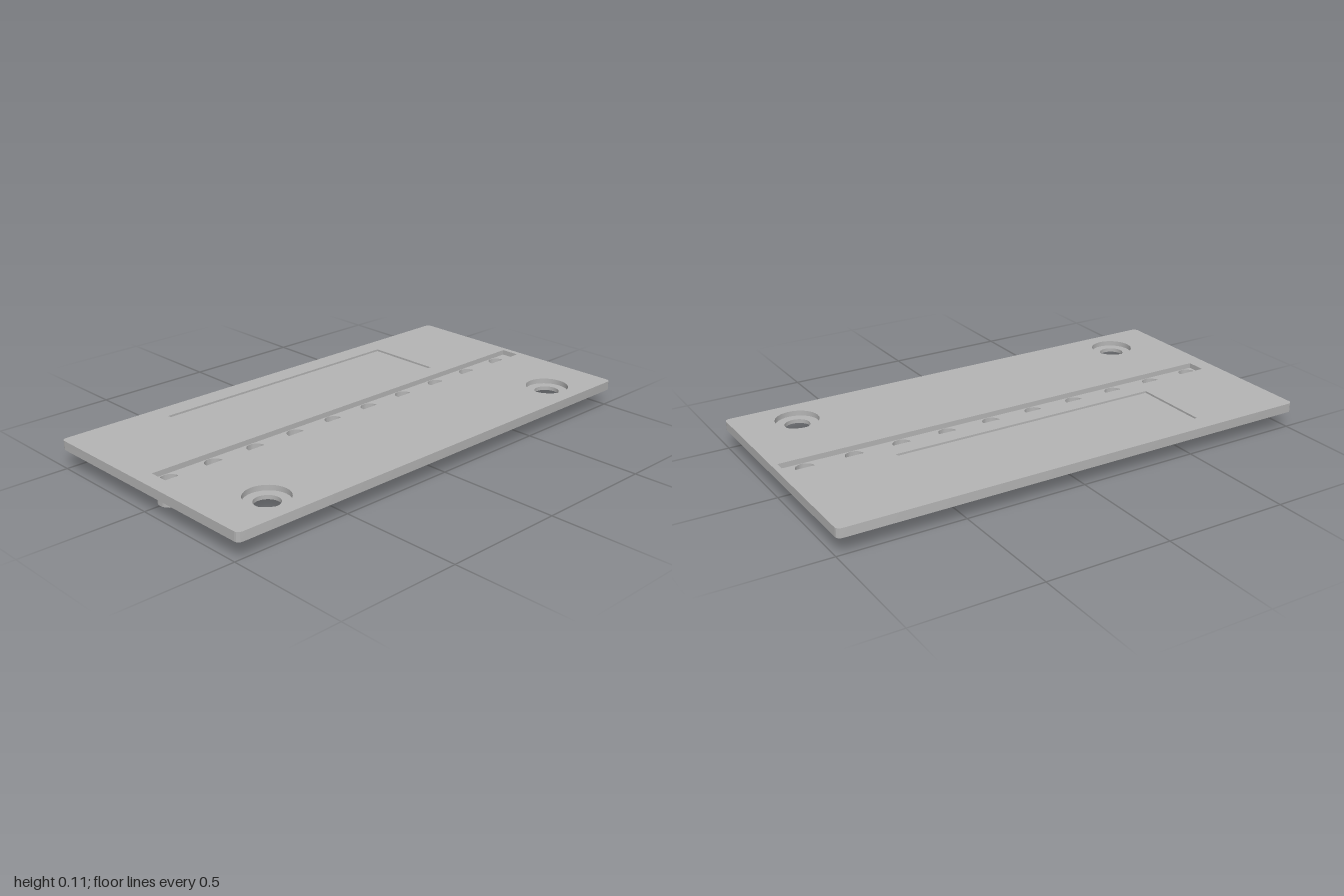
import * as THREE from 'three';
import { mergeGeometries, toCreasedNormals } from 'three/addons/utils/BufferGeometryUtils.js';

const SEG = 16;
// Heights
const UNDER = 0.075, LEDGE = 0.091, PANEL = 0.104, TOP = 0.112, BORE_FLOOR = 0.02;

function circle(x, z, r) {
  const s = new THREE.Shape();
  s.absarc(x, -z, r, 0, Math.PI * 2, false);
  return s;
}

function rect(x0, x1, z0, z1, r = 0) {
  const s = new THREE.Shape(), a = -z1, b = -z0;
  if (r === 0) {
    s.moveTo(x0, a).lineTo(x1, a).lineTo(x1, b).lineTo(x0, b).closePath();
    return s;
  }
  s.absarc(x1 - r, a + r, r, -Math.PI / 2, 0, false);
  s.absarc(x1 - r, b - r, r, 0, Math.PI / 2, false);
  s.absarc(x0 + r, b - r, r, Math.PI / 2, Math.PI, false);
  s.absarc(x0 + r, a + r, r, Math.PI, Math.PI * 1.5, false);
  s.closePath();
  return s;
}

// Flat horizontal face with holes, facing up or down
function cap(outline, holes, y, up = true) {
  const s = outline.clone();
  s.holes = holes;
  const g = new THREE.ShapeGeometry(s, SEG).toNonIndexed();
  g.deleteAttribute('uv');
  g.rotateX(-Math.PI / 2).translate(0, y, 0);
  if (!up) {
    const p = g.attributes.position;
    const a = new THREE.Vector3(), b = new THREE.Vector3();
    for (let i = 0; i < p.count; i += 3) {
      a.fromBufferAttribute(p, i + 1);
      b.fromBufferAttribute(p, i + 2);
      p.setXYZ(i + 1, b.x, b.y, b.z);
      p.setXYZ(i + 2, a.x, a.y, a.z);
    }
    g.computeVertexNormals();
  }
  return g;
}

// Vertical wall along an outline, facing outward or inward
function wall(outline, y0, y1, inward = false) {
  const pts = outline.getPoints(SEG);
  if (inward) pts.reverse();
  const v = [];
  for (let i = 0; i < pts.length; i++) {
    const p = pts[i], q = pts[(i + 1) % pts.length];
    if (p.distanceTo(q) < 1e-6) continue;
    v.push(p.x, y0, -p.y, q.x, y0, -q.y, q.x, y1, -q.y);
    v.push(p.x, y0, -p.y, q.x, y1, -q.y, p.x, y1, -p.y);
  }
  const g = new THREE.BufferGeometry();
  g.setAttribute('position', new THREE.Float32BufferAttribute(v, 3));
  g.computeVertexNormals();
  return toCreasedNormals(g, 0.6);
}

export function createModel() {
  const model = new THREE.Group();
  model.name = 'nozzlePlate';
  const grey = new THREE.MeshStandardMaterial({ color: 0xb4b4b4 });
  grey.name = 'grey';
  const add = (name, ...parts) => {
    const mesh = new THREE.Mesh(mergeGeometries(parts), grey);
    mesh.name = name;
    model.add(mesh);
  };

  const nozzleX = Array.from({ length: 10 }, (_, i) => -0.886 + i * 0.1969);
  const boltX = [-0.757, 0.757], boltZ = 0.377;
  const plate = rect(-1, 1, -0.522, 0.522, 0.02);
  const slot = rect(-0.933, 0.976, -0.04, 0.04);
  const panel = rect(-0.575, 0.575, -0.437, -0.112);
  const bolts = boltX.map(x => circle(x, boltZ, 0.05));
  const counterbores = boltX.map(x => circle(x, boltZ, 0.087));
  const bores = nozzleX.map(x => circle(x, 0, 0.037));
  const bodies = nozzleX.map(x => circle(x, 0, 0.048));

  // Plate skin
  add('plateTop', cap(plate, [slot, panel, ...counterbores], TOP));
  add('plateEdge', wall(plate, UNDER, TOP));
  add('plateUnderside', cap(plate, [...bolts, ...bodies], UNDER, false));

  // Long channel and shallow label recess
  add('channel', wall(slot, LEDGE, TOP, true), cap(slot, bores, LEDGE));
  add('shallowRecess', wall(panel, PANEL, TOP, true), cap(panel, [], PANEL));

  // Counterbored screw holes
  boltX.forEach((x, i) => add('screwHole',
    wall(counterbores[i], LEDGE, TOP, true),
    cap(counterbores[i], [bolts[i]], LEDGE),
    wall(bolts[i], UNDER, LEDGE, true)));

  // Hollow nozzles with a small hole in the bottom
  nozzleX.forEach((x, i) => {
    const pinhole = circle(x, 0, 0.01);
    add('nozzle',
      wall(bodies[i], 0, UNDER),
      cap(bodies[i], [pinhole], 0, false),
      wall(bores[i], BORE_FLOOR, LEDGE, true),
      cap(bores[i], [pinhole], BORE_FLOOR),
      wall(pinhole, 0, BORE_FLOOR, true));
  });

  return model;
}
